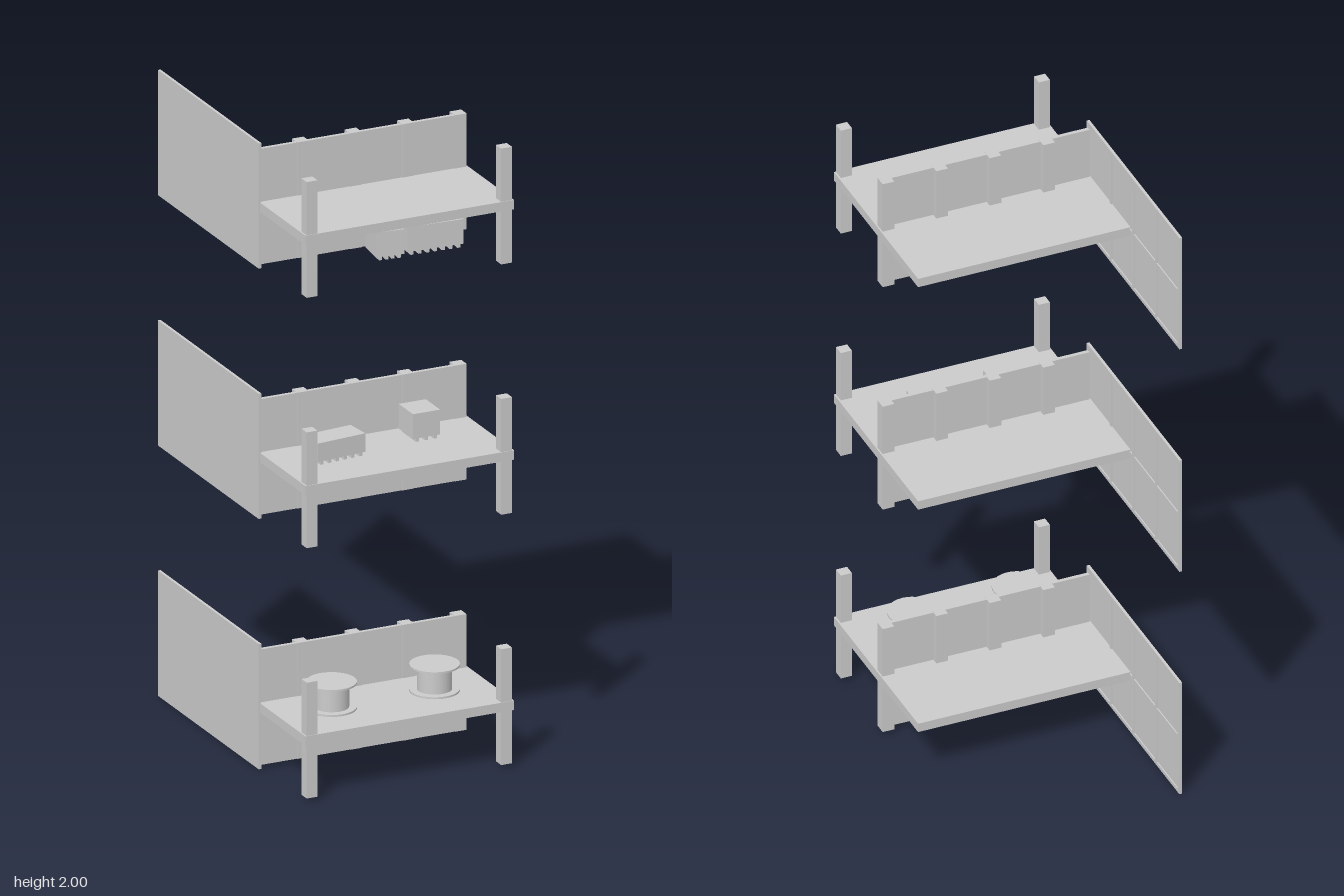
import * as THREE from 'three';

const material = new THREE.MeshStandardMaterial({ color: 0xcccccc });

// Box given by its extents on each axis
function box(parent, name, [x0, x1], [y0, y1], [z0, z1]) {
  const mesh = new THREE.Mesh(new THREE.BoxGeometry(x1 - x0, y1 - y0, z1 - z0), material);
  mesh.position.set((x0 + x1) / 2, (y0 + y1) / 2, (z0 + z1) / 2);
  mesh.name = name;
  parent.add(mesh);
  return mesh;
}

// Side wall: thin sheet with a grid of ribs on its inner face
function sideWall() {
  const wall = new THREE.Group();
  wall.name = 'sideWall';
  const z0 = -0.5, z1 = 0.19, rib = 0.012;
  box(wall, 'wallSheet', [-0.35, -0.345], [0, 0.4], [z0, z1]);
  for (let i = 0; i <= 4; i++) {
    const z = z0 + (z1 - z0 - rib) * i / 4;
    box(wall, 'wallUpright', [-0.346, -0.341], [0, 0.4], [z, z + rib]);
  }
  for (let i = 0; i <= 2; i++) {
    const y = (0.4 - rib) * i / 2;
    box(wall, 'wallRail', [-0.346, -0.3412], [y, y + rib], [z0, z1]);
  }
  return wall;
}

// One storey: floor slab, corner columns, partition with posts, side wall
function storey() {
  const group = new THREE.Group();
  group.name = 'storey';
  box(group, 'floorSlab', [-0.345, 0.348], [0.18, 0.21], [-0.127, 0.5]);
  for (const x of [-0.322, 0.324]) {
    box(group, 'frontColumn', [x - 0.018, x + 0.018], [0.01, 0.38], [0.462, 0.498]);
  }
  box(group, 'partition', [-0.342, 0.31], [0.01, 0.379], [0.17, 0.183]);
  for (const x of [-0.2, -0.025, 0.149, 0.324]) {
    box(group, 'partitionPost', [x - 0.019, x + 0.019], [0.01, 0.38], [0.148, 0.185]);
  }
  group.add(sideWall());
  return group;
}

// Cable spool: two flanges on a drum
function spool(x, y, z) {
  const group = new THREE.Group();
  group.name = 'spool';
  const disc = (name, radius, height, cy) => {
    const mesh = new THREE.Mesh(new THREE.CylinderGeometry(radius, radius, height, 32), material);
    mesh.position.y = cy;
    mesh.name = name;
    group.add(mesh);
  };
  disc('lowerFlange', 0.076, 0.006, 0.003);
  disc('drum', 0.053, 0.08, 0.044);
  disc('upperFlange', 0.076, 0.006, 0.083);
  group.position.set(x, y, z);
  return group;
}

// Crate standing on evenly spaced runners
function crate(x, y, z, w, h, d, runners, turn) {
  const group = new THREE.Group();
  group.name = 'crate';
  const foot = 0.011, half = 0.005;
  box(group, 'crateBody', [-w / 2, w / 2], [foot, h], [-d / 2, d / 2]);
  for (let i = 0; i < runners; i++) {
    const c = (i / (runners - 1) - 0.5) * (w - 0.03);
    box(group, 'crateRunner', [c - half, c + half], [0, foot + 0.001], [-d / 2 + 0.001, d / 2 - 0.001]);
  }
  group.position.set(x, y, z);
  group.rotation.y = turn;
  return group;
}

export function createModel() {
  const model = new THREE.Group();
  model.name = 'stackedStoreys';
  for (let i = 0; i < 3; i++) {
    const s = storey();
    s.position.y = 0.8 * i;
    model.add(s);
  }
  // Spools on the lowest floor
  for (const x of [-0.17, 0.172]) model.add(spool(x, 0.21, 0.318));
  // Crates on the middle floor
  model.add(crate(-0.157, 1.01, 0.31, 0.166, 0.07, 0.084, 6, 0.1));
  model.add(crate(0.15, 1.01, 0.26, 0.09, 0.09, 0.098, 3, 0));
  // Crates below the top floor
  model.add(crate(0.035, 1.607, 0.26, 0.09, 0.09, 0.092, 4, -0.1));
  model.add(crate(0.184, 1.607, 0.26, 0.182, 0.09, 0.092, 7, -0.05));
  return model;
}
